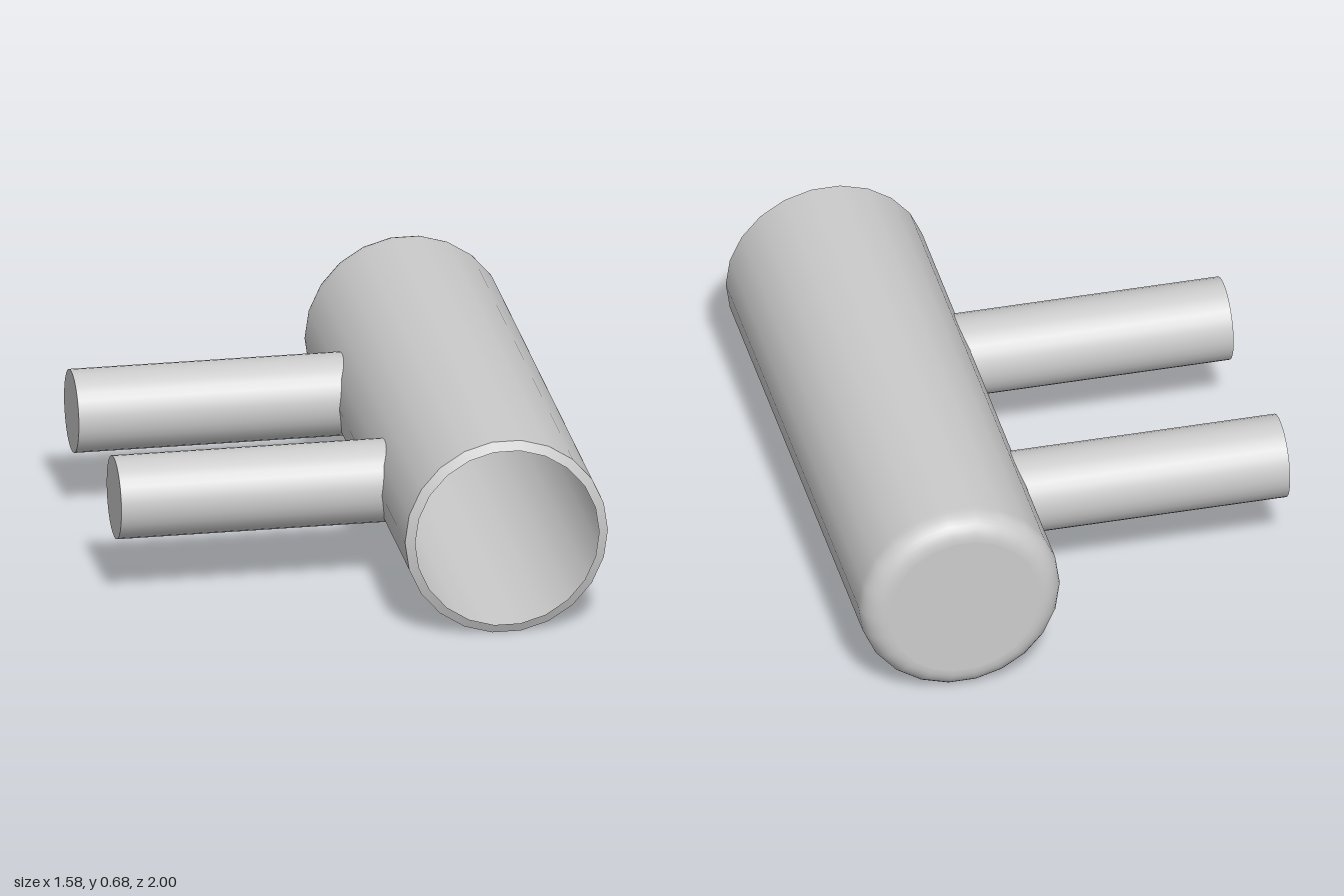
import * as THREE from 'three';

const R = 0.345, CX = 0.443, SIDES = 22;
const CY = R * Math.cos(Math.PI / SIDES); // flats of the tube rest on the ground

// Turn a profile of [radius, z] points around the tube's axis
function turned(name, profile, material) {
  const points = profile.map(([r, z]) => new THREE.Vector2(r, z));
  const geometry = new THREE.LatheGeometry(points, SIDES, Math.PI / 2);
  geometry.rotateX(Math.PI / 2);
  const mesh = new THREE.Mesh(geometry, material);
  mesh.name = name;
  mesh.position.set(CX, CY, 0);
  return mesh;
}

export function createModel() {
  const group = new THREE.Group();
  const shell = new THREE.MeshStandardMaterial({ color: 0xcccccc, side: THREE.DoubleSide });
  const solid = new THREE.MeshStandardMaterial({ color: 0xcccccc });

  // Thin tube, closed at the back with a rounded edge
  const fillet = 0.08, body = [[0, -1], [R - fillet - 0.005, -1]];
  for (let i = 0; i <= 8; i++) {
    const a = (i / 8) * Math.PI / 2;
    body.push([R - fillet + fillet * Math.sin(a), -1 + fillet - fillet * Math.cos(a)]);
  }
  body.push([R, -0.9], [R, 0.985]);
  group.add(turned('tubeBody', body, shell));

  // Narrow inward lip around the open front
  group.add(turned('tubeLip', [[R, 0.985], [0.313, 1]], shell));

  // Two pegs that pass just through the tube wall
  const x0 = -0.788, x1 = 0.14;
  for (const [name, z] of [['frontPeg', 0.405], ['backPeg', -0.405]]) {
    const geometry = new THREE.CylinderGeometry(0.141, 0.141, x1 - x0, 32);
    geometry.rotateZ(Math.PI / 2);
    const peg = new THREE.Mesh(geometry, solid);
    peg.name = name;
    peg.position.set((x0 + x1) / 2, 0.344, z);
    group.add(peg);
  }
  return group;
}
